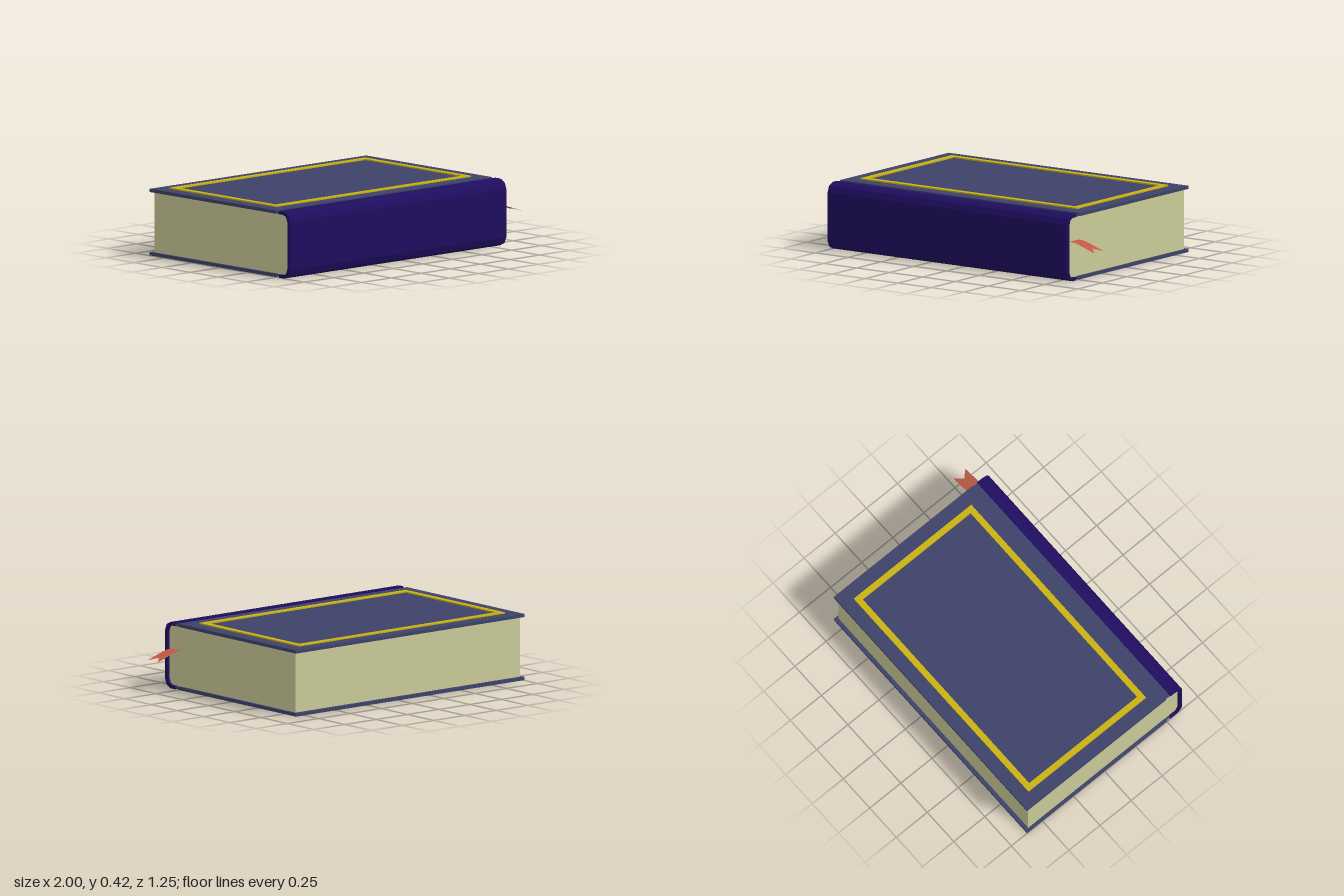
import * as THREE from 'three';

const X0 = -1, X1 = 0.825, MID = 0.208;

const paint = (color) => new THREE.MeshStandardMaterial({ color, side: THREE.DoubleSide });

function addMesh(parent, name, geometry, material) {
  const mesh = new THREE.Mesh(geometry, material);
  mesh.name = name;
  parent.add(mesh);
  return mesh;
}

// Box given by its limits on each axis
function block([x0, x1], [y0, y1], [z0, z1]) {
  return new THREE.BoxGeometry(x1 - x0, y1 - y0, z1 - z0)
    .translate((x0 + x1) / 2, (y0 + y1) / 2, (z0 + z1) / 2);
}

// Sweep a [z, y] outline along x
function sweep(points, x0, x1) {
  const shape = new THREE.Shape(points.map(([z, y]) => new THREE.Vector2(-z, y)));
  return new THREE.ExtrudeGeometry(shape, { depth: x1 - x0, bevelEnabled: false })
    .rotateY(Math.PI / 2).translate(x0, 0, 0);
}

// Flat rectangular border lying on a cover
function border([x0, x1], [z0, z1], width, y0, y1) {
  const rect = (path, inset) => {
    const a = x0 + inset, b = x1 - inset, c = -z1 + inset, d = -z0 - inset;
    return path.moveTo(a, c).lineTo(b, c).lineTo(b, d).lineTo(a, d).closePath();
  };
  const shape = rect(new THREE.Shape(), 0);
  shape.holes.push(rect(new THREE.Path(), width));
  return new THREE.ExtrudeGeometry(shape, { depth: y1 - y0, bevelEnabled: false })
    .rotateX(-Math.PI / 2).translate(0, y0, 0);
}

// Upper half of a profile, completed by its reflection about mid height
const mirrored = (half) => [...half, ...half.map(([z, y]) => [z, 2 * MID - y]).reverse()];

export function createModel() {
  const book = new THREE.Group();
  book.name = 'book';
  const cover = paint(0x3c4268);
  const spineMat = paint(0x1f0d5f);
  const paper = paint(0xcaca98);
  const gold = paint(0xc8b214);
  const red = paint(0xc05a44);

  // Cover boards
  addMesh(book, 'topCover', block([X0, X1], [0.395, 0.415], [-0.624, 0.495]), cover);
  addMesh(book, 'bottomCover', block([X0, X1], [0.002, 0.022], [-0.624, 0.5]), cover);

  // Thin hinges between boards and spine
  addMesh(book, 'topHinge', block([X0 + 0.005, X1 - 0.003], [0.396, 0.408], [0.48, 0.55]), cover);
  addMesh(book, 'bottomHinge', block([X0 + 0.005, X1 - 0.003], [0.008, 0.02], [0.48, 0.55]), cover);

  // Spine: a faceted C-shaped shell
  const outer = mirrored([[0.526, 0.415], [0.571, 0.415], [0.608, 0.397], [0.624, 0.358]]);
  const inner = mirrored([[0.53, 0.395], [0.565, 0.395], [0.589, 0.384], [0.602, 0.352]]);
  addMesh(book, 'spine', sweep([...outer, ...inner.reverse()], X0, X1), spineMat);

  // Page block with its rounded back
  const pages = mirrored([[-0.6, 0.396], [0.565, 0.396], [0.59, 0.385], [0.603, 0.352]]);
  addMesh(book, 'pages', sweep(pages, X0 + 0.017, X1 - 0.017), paper);

  // Gold borders
  addMesh(book, 'topBorder', border([-0.915, 0.735], [-0.54, 0.405], 0.039, 0.41, 0.423), gold);
  addMesh(book, 'bottomBorder', border([-0.89, -0.31], [-0.495, 0.35], 0.024, 0, 0.01), gold);

  // Ribbon bookmark: a drooping strip with a notched end
  const segments = 8;
  const ribbon = new THREE.PlaneGeometry(1, 0.097, segments, 2).rotateX(-Math.PI / 2);
  const droop = new THREE.CatmullRomCurve3([[0.78, 0.246], [0.83, 0.246], [0.862, 0.241], [0.93, 0.219], [1, 0.196]]
    .map(([x, y]) => new THREE.Vector3(x, y, 0)));
  const pos = ribbon.attributes.position;
  for (let i = 0; i < pos.count; i++) {
    const t = pos.getX(i) + 0.5, z = pos.getZ(i);
    const notch = Math.abs(z) < 0.01 ? 0.77 : 1;
    const p = droop.getPointAt(Math.min(t * notch, 1));
    pos.setXYZ(i, p.x, p.y, z + 0.533);
  }
  ribbon.computeVertexNormals();
  addMesh(book, 'ribbon', ribbon, red);

  return book;
}
